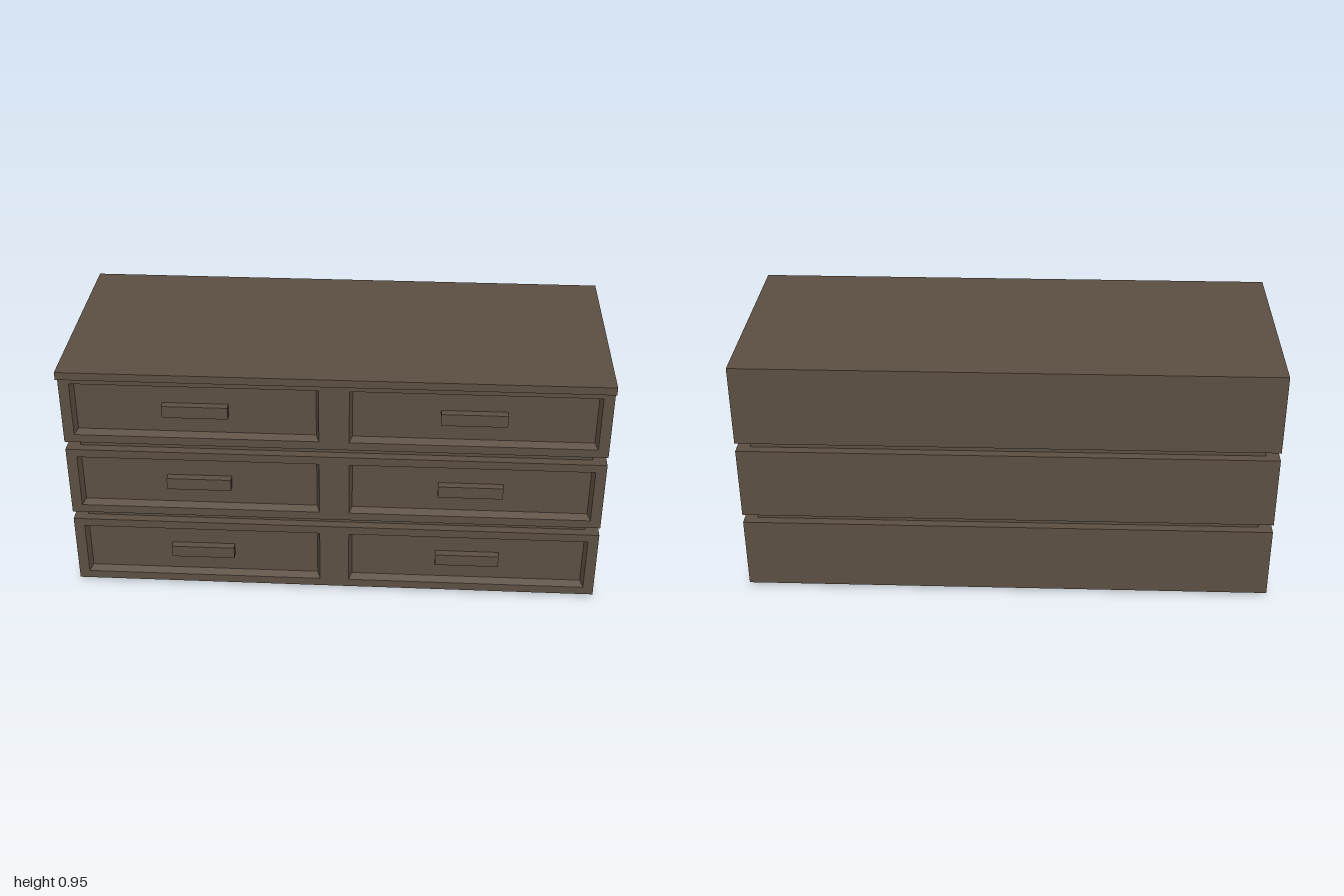
import * as THREE from 'three';

const wood = new THREE.MeshStandardMaterial({ color: 0x5c4f42 });
wood.name = 'dark brown wood';

const BACK = -0.413, FRONT = 0.383, PANEL = 0.353; // depth planes
const TIER_H = 0.28, PITCH = 0.313, BASE = 0.017;
const OPEN_W = 0.905, OPEN_H = 0.215, OPEN_X = 0.508, BEVEL = 0.011;

function add(parent, name, geometry) {
  const mesh = new THREE.Mesh(geometry, wood);
  mesh.name = name;
  parent.add(mesh);
  return mesh;
}

// Box given by its lower and upper corners
function block(parent, name, [x0, y0, z0], [x1, y1, z1]) {
  const mesh = add(parent, name, new THREE.BoxGeometry(x1 - x0, y1 - y0, z1 - z0));
  mesh.position.set((x0 + x1) / 2, (y0 + y1) / 2, (z0 + z1) / 2);
  return mesh;
}

// Corners of a centred rectangle, counter-clockwise
function corners(w, h, cx = 0) {
  return [[-1, -1], [1, -1], [1, 1], [-1, 1]].map(([x, y]) => new THREE.Vector2(cx + x * w / 2, y * h / 2));
}

// Front frame with two drawer openings
function frameGeometry() {
  const shape = new THREE.Shape(corners(2, TIER_H));
  for (const side of [-1, 1]) shape.holes.push(new THREE.Path(corners(OPEN_W, OPEN_H, side * OPEN_X).reverse()));
  return new THREE.ExtrudeGeometry(shape, { depth: FRONT - PANEL, bevelEnabled: false });
}

// Four sloping walls from the opening's rim down to the drawer panel
function bezelGeometry() {
  const outer = corners(OPEN_W, OPEN_H), inner = corners(OPEN_W - 2 * BEVEL, OPEN_H - 2 * BEVEL);
  const points = [];
  for (let i = 0; i < 4; i++) {
    const j = (i + 1) % 4;
    const a = [outer[i].x, outer[i].y, FRONT], b = [outer[j].x, outer[j].y, FRONT];
    const c = [inner[j].x, inner[j].y, PANEL], d = [inner[i].x, inner[i].y, PANEL];
    points.push(...a, ...b, ...c, ...a, ...c, ...d);
  }
  const geometry = new THREE.BufferGeometry();
  geometry.setAttribute('position', new THREE.Float32BufferAttribute(points, 3));
  geometry.computeVertexNormals();
  return geometry;
}

export function createModel() {
  const dresser = new THREE.Group();
  dresser.name = 'dresser';
  const frame = frameGeometry(), bezel = bezelGeometry();

  for (let i = 0; i < 3; i++) {
    const y = BASE + i * PITCH;
    const tier = new THREE.Group();
    tier.name = 'drawerTier' + (i + 1);
    tier.position.y = y + TIER_H / 2;
    dresser.add(tier);

    // Carcass and front frame
    block(tier, 'carcass', [-1, -TIER_H / 2, BACK], [1, TIER_H / 2, PANEL]);
    add(tier, 'frontFrame', frame).position.z = PANEL;

    // Drawer surrounds and handles
    for (const side of [-1, 1]) {
      const x = side * OPEN_X;
      add(tier, 'drawerBezel', bezel).position.x = x;
      block(tier, 'handle', [x - 0.121, -0.0235, PANEL], [x + 0.121, 0.0235, FRONT]);
    }

    // Recessed plinth or spacer under the tier
    const bottom = i === 0 ? 0 : y - (PITCH - TIER_H);
    block(dresser, i === 0 ? 'plinth' : 'spacer', [-0.95, bottom, -0.378], [0.95, y, 0.348]);
  }

  // Top board overhanging the front
  block(dresser, 'topBoard', [-1, 0.923, BACK], [1, 0.953, 0.413]);
  return dresser;
}
